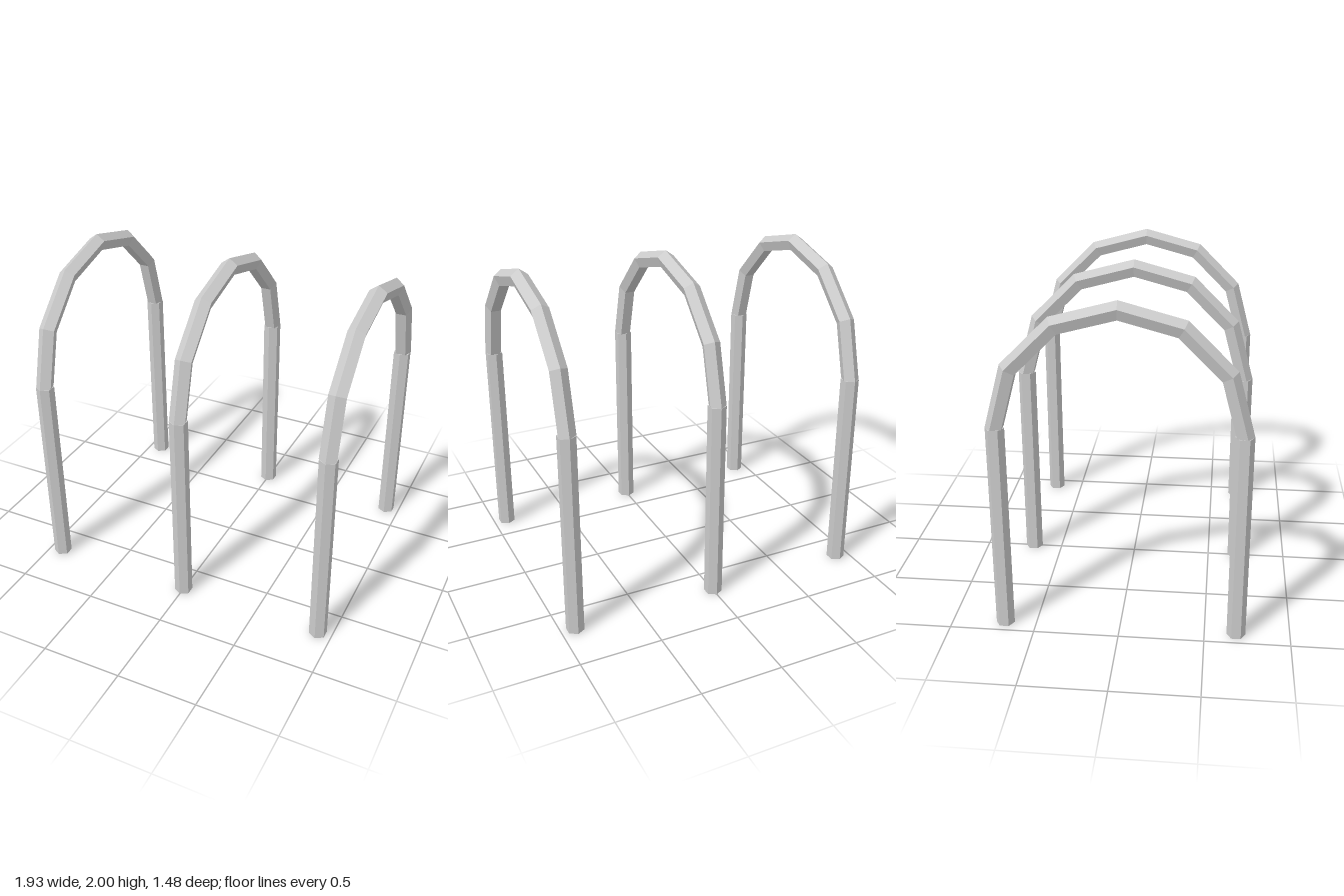
import * as THREE from 'three';

const SPACING = 0.913;    // distance between hoops
const LEG_HEIGHT = 1.26;
const RADIUS = 0.685;     // centre line of the arch
const BAR = 0.055;        // bar thickness radius

export function createModel() {
  const material = new THREE.MeshStandardMaterial({ color: 0xcccccc, flatShading: true });

  // Six-sided leg, corners pointing along z
  const legGeometry = new THREE.CylinderGeometry(BAR, BAR, LEG_HEIGHT, 6);
  legGeometry.translate(0, LEG_HEIGHT / 2, 0);

  // Half ring of six straight pieces, five-sided with a ridge on the outside
  const archGeometry = new THREE.TorusGeometry(RADIUS, BAR, 5, 6, Math.PI);
  archGeometry.rotateY(Math.PI / 2);
  archGeometry.translate(0, LEG_HEIGHT, 0);

  const addPart = (parent, geometry, name, z = 0) => {
    const mesh = new THREE.Mesh(geometry, material);
    mesh.name = name;
    mesh.position.z = z;
    parent.add(mesh);
  };

  const model = new THREE.Group();
  model.name = 'hoopRack';
  ['rightHoop', 'middleHoop', 'leftHoop'].forEach((name, i) => {
    const hoop = new THREE.Group();
    hoop.name = name;
    hoop.position.x = (i - 1) * SPACING;
    addPart(hoop, archGeometry, 'arch');
    addPart(hoop, legGeometry, 'frontLeg', RADIUS);
    addPart(hoop, legGeometry, 'backLeg', -RADIUS);
    model.add(hoop);
  });
  return model;
}
